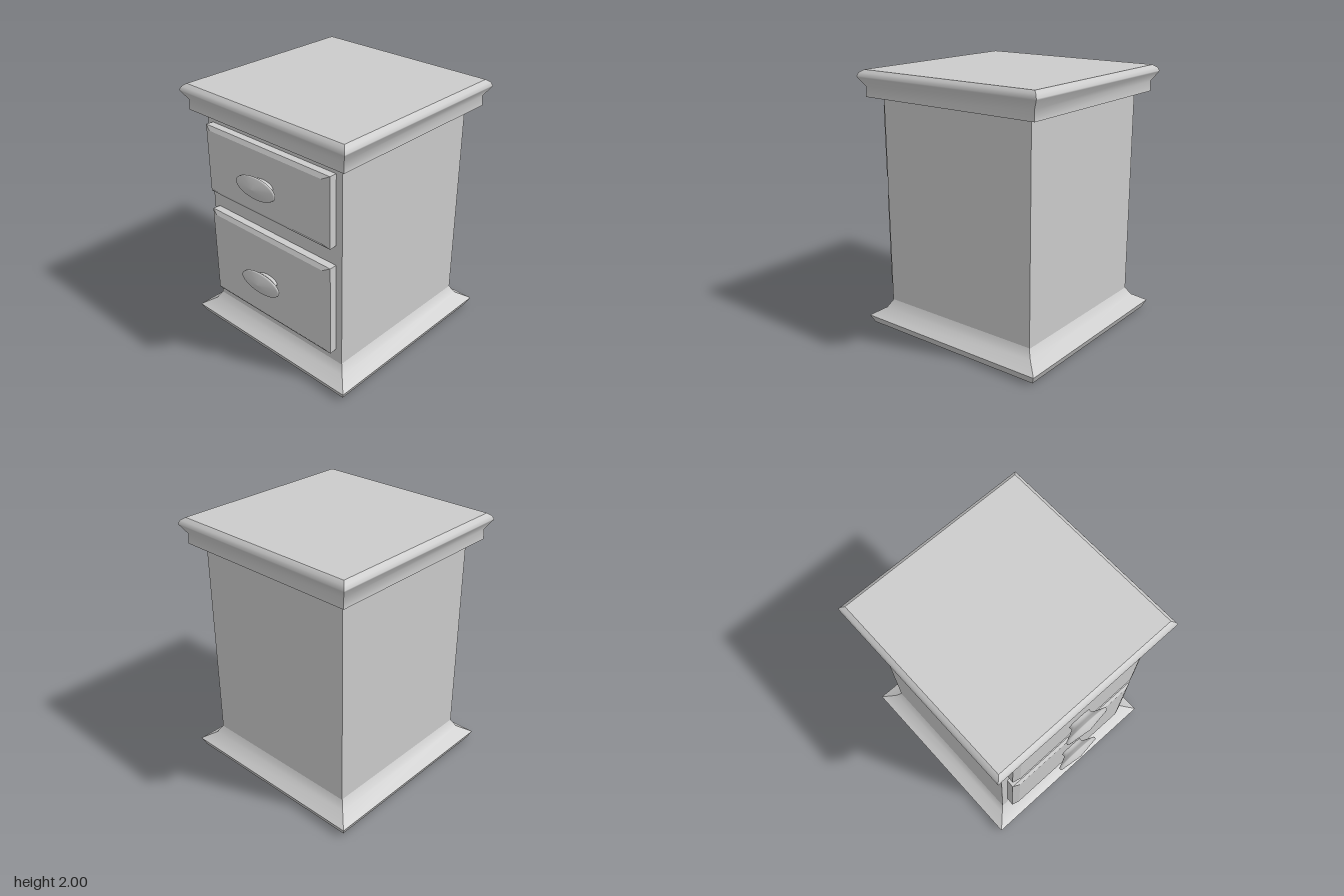
import * as THREE from 'three';

const material = new THREE.MeshStandardMaterial({ color: 0xcccccc });
const CORNERS = [[1, 1], [1, -1], [-1, -1], [-1, 1]];

// Rectangular moulding: each band is a list of [halfX, halfZ, y] rings,
// smooth within a band and sharp between bands and at the four mitres.
function moulding(bands) {
  const positions = [], index = [];
  const corner = (ring, k) => {
    const [sx, sz] = CORNERS[k % 4];
    return positions.push(sx * ring[0], ring[2], sz * ring[1]) / 3 - 1;
  };
  for (const band of bands) {
    for (let side = 0; side < 4; side++) {
      const rows = band.map((ring) => [corner(ring, side), corner(ring, side + 1)]);
      for (let i = 0; i < rows.length - 1; i++) {
        const [a, b] = rows[i], [d, c] = rows[i + 1];
        index.push(a, b, c, a, c, d);
      }
    }
  }
  const [b0, b1, b2, b3] = [0, 1, 2, 3].map((k) => corner(bands[0][0], k));
  index.push(b0, b2, b1, b0, b3, b2);
  const last = bands.at(-1).at(-1);
  const [t0, t1, t2, t3] = [0, 1, 2, 3].map((k) => corner(last, k));
  index.push(t0, t1, t2, t0, t2, t3);

  const geometry = new THREE.BufferGeometry();
  geometry.setAttribute('position', new THREE.Float32BufferAttribute(positions, 3));
  geometry.setIndex(index);
  geometry.computeVertexNormals();
  return geometry;
}

// Same moulding with a square plan, from [half, y] pairs
const square = (bands) => moulding(bands.map((band) => band.map(([h, y]) => [h, h, y])));

function addMesh(parent, name, geometry, x = 0, y = 0, z = 0) {
  const mesh = new THREE.Mesh(geometry, material);
  mesh.name = name;
  mesh.position.set(x, y, z);
  parent.add(mesh);
  return mesh;
}

// Bevelled drawer front with an oval knob
function createDrawer(name, bottom, top, knobY) {
  const drawer = new THREE.Group();
  drawer.name = name;
  const hx = 0.613, hy = (top - bottom) / 2;
  const panel = addMesh(drawer, 'drawerFront', moulding([
    [[hx - 0.004, hy - 0.004, 0.63], [hx, hy, 0.7]],
    [[hx, hy, 0.7], [hx - 0.058, hy - 0.03, 0.72]],
  ]), 0, (top + bottom) / 2, 0);
  panel.rotation.x = Math.PI / 2;

  const profile = [[0.5, 0.715], [0.5, 0.742], [0.7, 0.761], [0.96, 0.782], [1, 0.79], [0.98, 0.805], [0, 0.83]]
    .map(([r, z]) => new THREE.Vector2(r, z));
  const oval = new THREE.LatheGeometry(profile, 40);
  oval.scale(0.193, 1, 0.082);
  const knob = addMesh(drawer, 'drawerKnob', oval, 0, knobY, 0);
  knob.rotation.x = Math.PI / 2;
  return drawer;
}

export function createModel() {
  const model = new THREE.Group();
  model.name = 'bedsideCabinet';
  const centreZ = -0.03;

  // Carcass
  addMesh(model, 'cabinetBody', new THREE.BoxGeometry(1.33, 1.64, 1.335), 0, 0.99, centreZ);

  // Flared plinth
  addMesh(model, 'plinth', square([
    [[0.772, 0], [0.8, 0.06]],
    [[0.8, 0.06], [0.702, 0.122], [0.665, 0.185]],
  ]), 0, 0, centreZ);

  // Moulded top
  addMesh(model, 'top', square([
    [[0.757, 1.8], [0.753, 1.875], [0.798, 1.945], [0.8, 1.955], [0.788, 1.98], [0.76, 2]],
  ]), 0, 0, centreZ);

  // Drawers
  model.add(createDrawer('upperDrawer', 1.175, 1.72, 1.45));
  model.add(createDrawer('lowerDrawer', 0.29, 1.022, 0.66));
  return model;
}
